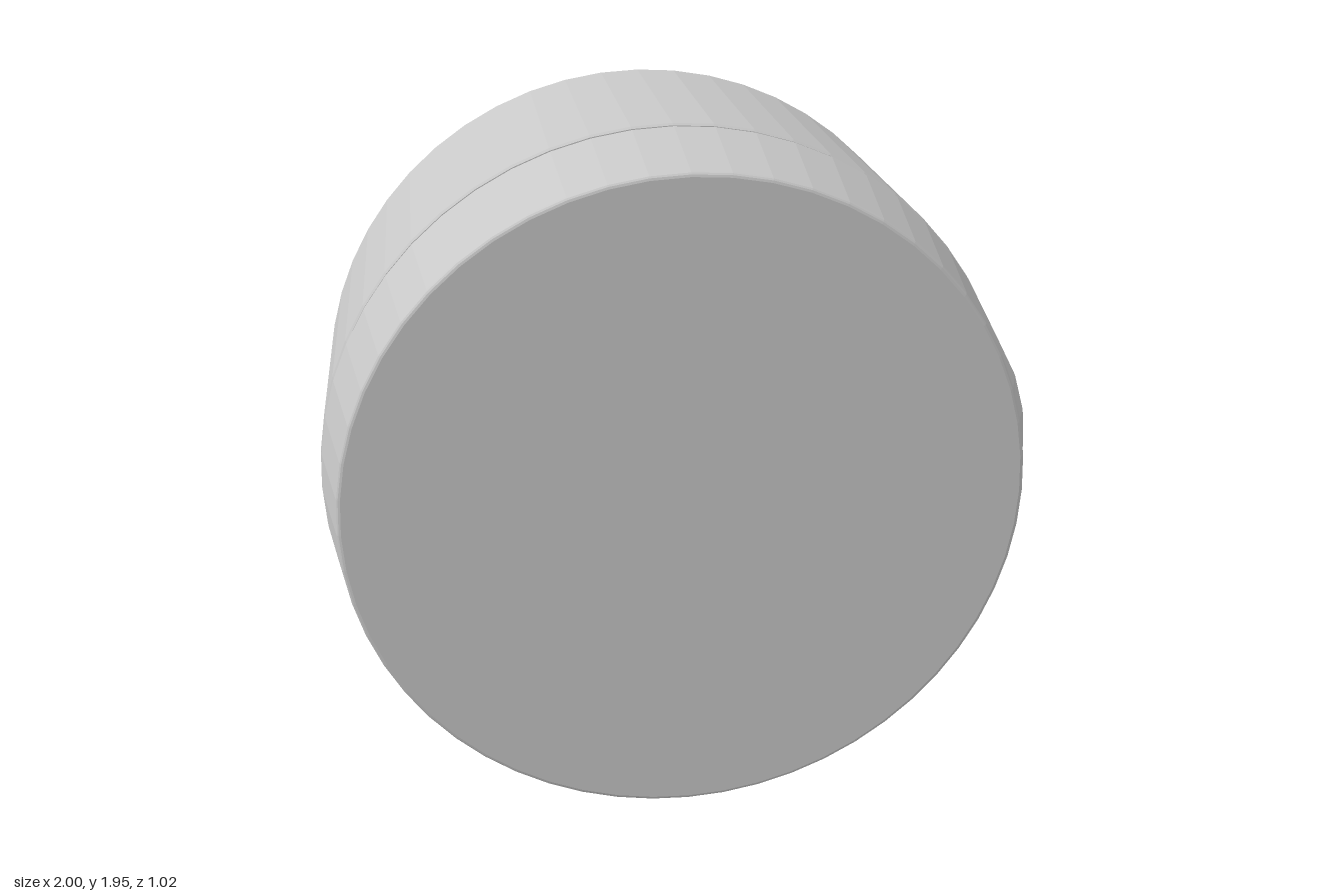
import * as THREE from 'three';

const SEGMENTS = 56;
const CENTRE_X = -0.026, CENTRE_Y = 0.975;

// Turns a profile of [radius, z] pairs around the cap's axis, which is z.
// reshape may move each vertex first; y is the axis until the final rotation.
function turn(profile, reshape) {
  const points = profile.map(([r, z]) => new THREE.Vector2(r, z));
  const lathe = new THREE.LatheGeometry(points, SEGMENTS);
  const pos = lathe.attributes.position;
  const v = new THREE.Vector3();
  if (reshape) {
    for (let i = 0; i < pos.count; i++) {
      v.fromBufferAttribute(pos, i);
      reshape(v, Math.floor(i / points.length) / SEGMENTS);
      pos.setXYZ(i, v.x, v.y, v.z);
    }
  }
  lathe.rotateX(Math.PI / 2);
  const flat = lathe.toNonIndexed();
  flat.computeVertexNormals();
  return flat;
}

export function createModel() {
  const model = new THREE.Group();
  model.name = 'screwCap';
  const plastic = new THREE.MeshStandardMaterial({ color: 0xc8c8c8 });
  plastic.name = 'greyPlastic';

  function add(name, geometry) {
    const mesh = new THREE.Mesh(geometry, plastic);
    mesh.name = name;
    mesh.position.set(CENTRE_X, CENTRE_Y, 0);
    model.add(mesh);
  }

  // Skirt: deep inner floor, stepped inner wall, back rim, outside, hinge groove
  add('skirt', turn([
    [0, 0.205], [0.9, 0.205], [0.91, 0.2], [0.915, 0.185], [0.917, 0.04], [0.926, 0.02],
    [0.926, -0.485], [0.93, -0.5], [0.939, -0.51],
    [0.967, -0.51], [0.972, -0.508], [0.974, -0.502],
    [0.974, 0.2], [0.969, 0.207], [0.952, 0.207], [0.952, 0.218],
  ]));

  // Tapered lid, its back edge pulled out at +x into a thumb tab
  add('lidWithThumbTab', turn([
    [0.952, 0.215], [0.964, 0.215], [0.971, 0.225], [0.946, 0.37],
    [0.924, 0.498], [0.922, 0.504], [0.918, 0.508], [0.912, 0.51], [0, 0.51],
  ], (v) => {
    const radius = Math.hypot(v.x, v.z);
    if (v.y > 0.3 || radius < 0.955) return;
    const angle = Math.atan2(v.z, v.x);
    const pull = 0.055 * Math.max(0, 1 - (angle / 0.38) ** 2);
    const scale = (radius + pull) / radius;
    v.x *= scale;
    v.z *= scale;
  }));

  // Inner screw thread, one turn at a time, fading into the wall at both ends
  const turns = 3, pitch = 0.125, wall = 0.93;
  for (let t = 0; t < turns; t++) {
    const z = -0.4 + t * pitch;
    add('threadTurn' + (t + 1), turn([
      [wall, z + 0.035], [0.892, z + 0.012], [0.892, z - 0.012], [wall, z - 0.035],
    ], (v, along) => {
      v.y += along * pitch;
      const progress = t + along;
      const fade = Math.min(1, progress * 8, (turns - progress) * 8);
      const radius = Math.hypot(v.x, v.z);
      const scale = (wall - (wall - radius) * fade) / radius;
      v.x *= scale;
      v.z *= scale;
    }));
  }
  return model;
}
